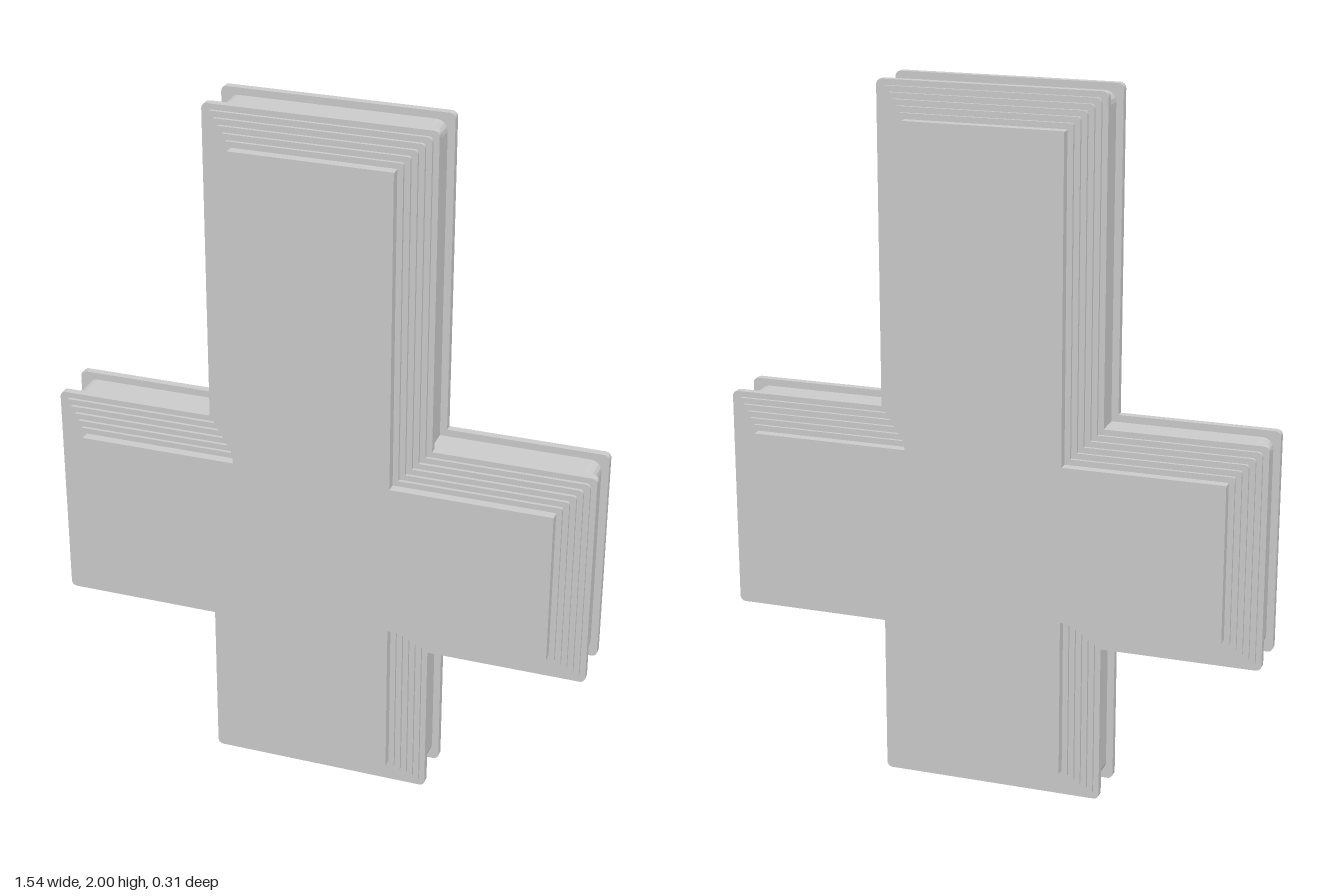
import * as THREE from 'three';

const material = new THREE.MeshStandardMaterial({ color: 0xcccccc, flatShading: true });

// Half widths and heights of the face plate
const STEM = 0.225, ARM = 0.677, BOTTOM = 0.095, TOP = 1.905, ARM_LOW = 0.553, ARM_HIGH = 1.0;
const STEPS = 6, OFFSET = 0.095, ARC = 4;

// Cross outline, counter-clockwise, grown by d, with outer corners rounded by r
function outline(d, r) {
  const s = STEM + d, a = ARM + d;
  const b = BOTTOM - d, t = TOP + d, lo = ARM_LOW - d, hi = ARM_HIGH + d;
  const corners = [
    [s, b], [s, lo, true], [a, lo], [a, hi], [s, hi, true], [s, t],
    [-s, t], [-s, hi, true], [-a, hi], [-a, lo], [-s, lo, true], [-s, b],
  ];
  const points = [];
  corners.forEach(([x, y, inner], i) => {
    const p = new THREE.Vector2(x, y);
    if (inner) { points.push(p); return; }
    const toward = (c) => new THREE.Vector2(c[0], c[1]).sub(p).normalize().multiplyScalar(r);
    const back = toward(corners[(i + 11) % 12]);
    const ahead = toward(corners[(i + 1) % 12]);
    for (let k = 0; k <= ARC; k++) {
      const angle = (k / ARC) * Math.PI / 2;
      points.push(p.clone()
        .addScaledVector(back, 1 - Math.sin(angle))
        .addScaledVector(ahead, 1 - Math.cos(angle)));
    }
  });
  return points;
}

// Skin joining a run of outlines [offset, radius, z], ordered from +z to -z
function skin(name, profile) {
  const rings = profile.map(([d, r, z]) => outline(d, r).map((p) => [p.x, p.y, z]));
  const positions = [];
  for (let i = 0; i < rings.length - 1; i++) {
    const upper = rings[i], lower = rings[i + 1], n = upper.length;
    for (let j = 0; j < n; j++) {
      const k = (j + 1) % n;
      positions.push(...lower[j], ...lower[k], ...upper[k], ...lower[j], ...upper[k], ...upper[j]);
    }
  }
  const geometry = new THREE.BufferGeometry();
  geometry.setAttribute('position', new THREE.Float32BufferAttribute(positions, 3));
  geometry.computeVertexNormals();
  const mesh = new THREE.Mesh(geometry, material);
  mesh.name = name;
  return mesh;
}

function facePlate(name) {
  const group = new THREE.Group();
  group.name = name;
  const cap = new THREE.Mesh(new THREE.ShapeGeometry(new THREE.Shape(outline(0, 0.003))), material);
  cap.name = name + 'Surface';
  cap.position.z = 0.153;
  group.add(cap, skin(name + 'Edge', [[0, 0.003, 0.153], [0, 0.003, 0.125]]));
  return group;
}

// Stairs widening from the face plate to the rim, then in to the core
function steppedRim(name) {
  const profile = [[0, 0.003, 0.125]];
  for (let i = 1; i <= STEPS; i++) {
    const d = OFFSET * i / STEPS, r = 0.003 + 0.002 * i;
    const z = 0.125 - (i - 1) * 0.009;
    profile.push([d, r, z], [d, r, i < STEPS ? z - 0.009 : 0.058]);
  }
  profile.push([0.075, 0.03, 0.058]);
  return skin(name, profile);
}

export function createModel() {
  const model = new THREE.Group();
  model.name = 'steppedCross';
  // Recessed band between the two rims
  model.add(skin('coreBand', [[0.075, 0.03, 0.058], [0.075, 0.03, -0.058]]));
  // Matching front and back halves
  for (const side of ['front', 'back']) {
    const half = new THREE.Group();
    half.name = side + 'Half';
    half.add(facePlate(side + 'Plate'), steppedRim(side + 'Rim'));
    if (side === 'back') half.rotation.y = Math.PI;
    model.add(half);
  }
  return model;
}
